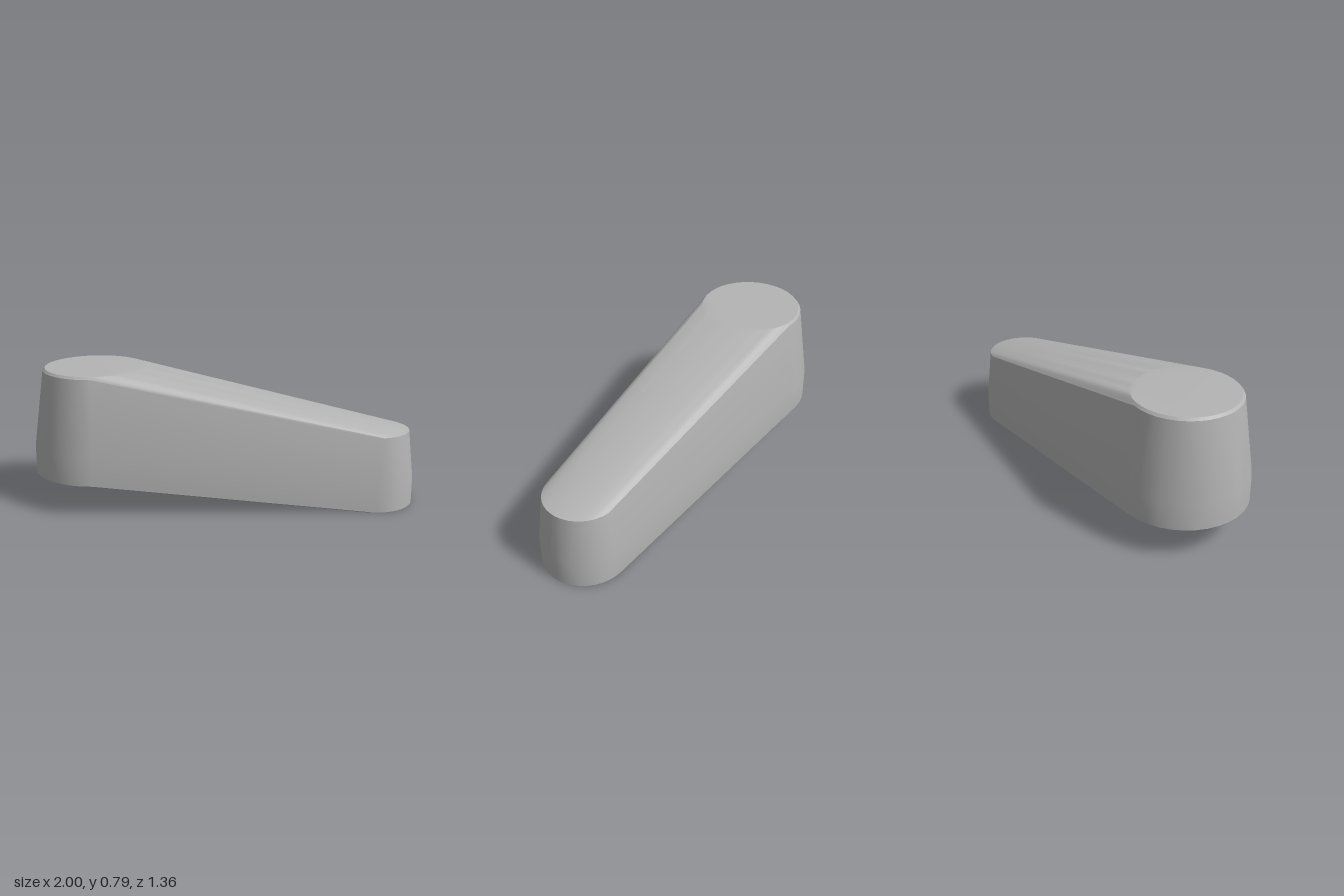
import * as THREE from 'three';
import { ConvexGeometry } from 'three/addons/geometries/ConvexGeometry.js';
import { toCreasedNormals } from 'three/addons/utils/BufferGeometryUtils.js';

const SIDES = 36;

// Points of a round pillar, given as [radius, height] rings around (x, z)
function pillar(x, z, rings) {
  const points = [];
  for (const [r, y] of rings) {
    for (let i = 0; i < SIDES; i++) {
      const a = (i / SIDES) * Math.PI * 2;
      points.push(new THREE.Vector3(x + r * Math.cos(a), y, z + r * Math.sin(a)));
    }
  }
  return points;
}

export function createModel() {
  const group = new THREE.Group();
  const grey = new THREE.MeshStandardMaterial({ color: 0xb4b4b4 });
  grey.name = 'plainGrey';

  // Tall wide end, with a narrow chamfer around its top
  const tallEnd = pillar(-0.64, 0.32, [[0.36, 0.188], [0.36, 0.34], [0.3, 0.778], [0.288, 0.792]]);
  // Low narrow end, standing on the ground
  const lowEnd = pillar(0.76, -0.44, [[0.24, 0], [0.24, 0.15], [0.208, 0.43]]);

  // The body is the taut skin stretched over both ends
  const skin = new ConvexGeometry([...tallEnd, ...lowEnd]);
  const body = new THREE.Mesh(toCreasedNormals(skin, 0.5), grey);
  body.name = 'taperedArm';
  group.add(body);
  return group;
}
